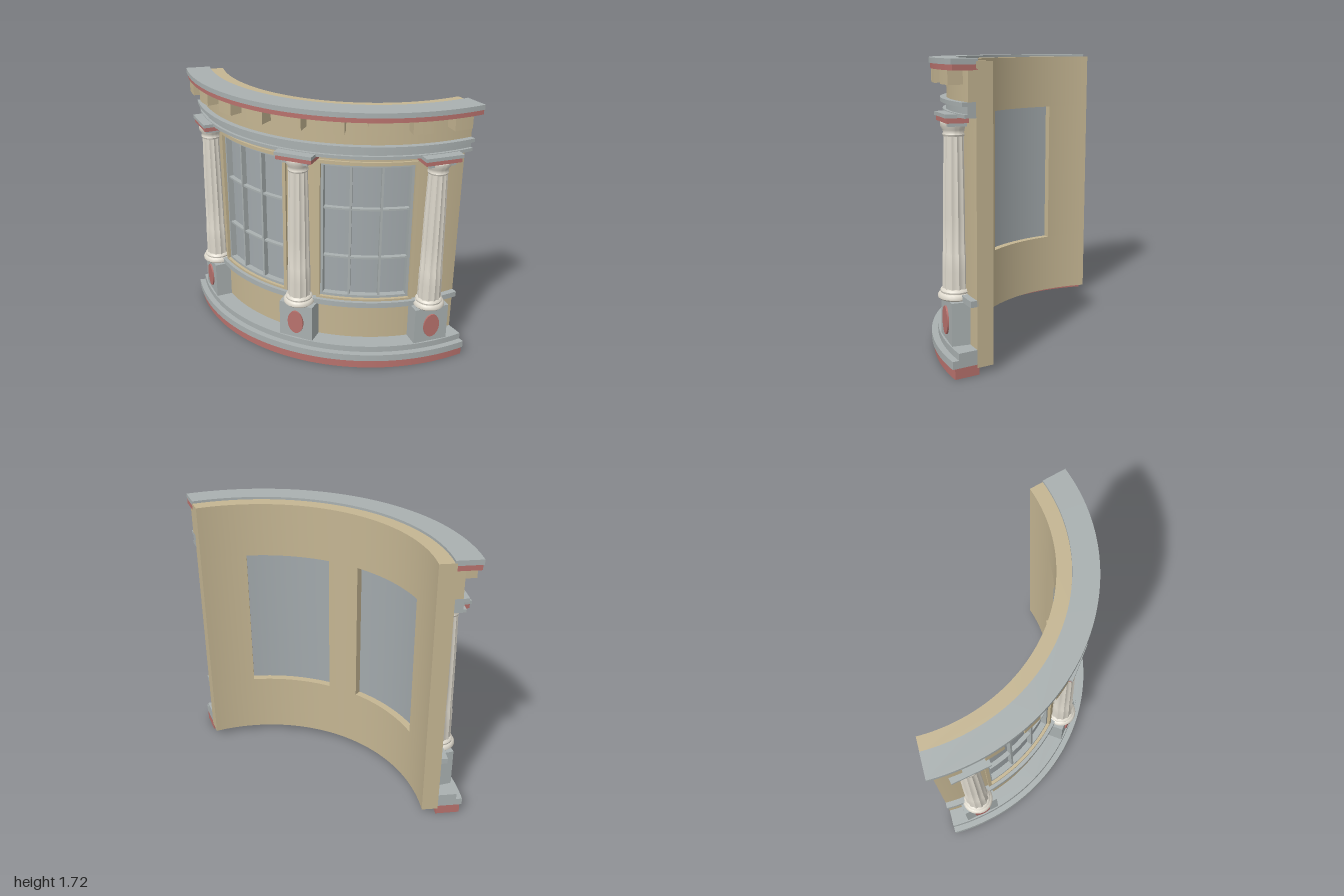
import * as THREE from 'three';
import { toCreasedNormals } from 'three/addons/utils/BufferGeometryUtils.js';

const mat = (name, color) => {
  const m = new THREE.MeshStandardMaterial({ color });
  m.name = name;
  return m;
};
const D = Math.PI / 180;
const CZ = -0.93;          // centre of the curve on z
const END = 53.13;         // half angle of the facade, degrees

export function createModel() {
  const stone = mat('sandstone', 0xc4b592);
  const grey = mat('grey trim', 0xa9b0b0);
  const red = mat('red trim', 0xb8726d);
  const cream = mat('cream column', 0xdcd7cb);
  const glass = mat('window glass', 0xa2a9ac);

  const model = new THREE.Group();
  model.name = 'curvedFacade';
  const curve = new THREE.Group();
  curve.name = 'curvedParts';
  curve.position.z = CZ;
  model.add(curve);

  const add = (parent, name, geometry, material) => {
    const m = new THREE.Mesh(geometry, material);
    m.name = name;
    parent.add(m);
    return m;
  };

  // Curved block between two radii, two heights and two angles
  const arc = (name, material, r0, r1, y0, y1, a0 = -END, a1 = END, parent = curve) => {
    const s = new THREE.Shape();
    const b = (a0 - 90) * D, e = (a1 - 90) * D;
    s.absarc(0, 0, r1, b, e, false);
    s.absarc(0, 0, r0, e, b, true);
    s.closePath();
    const g = new THREE.ExtrudeGeometry(s, {
      depth: y1 - y0, bevelEnabled: false,
      curveSegments: Math.max(1, Math.ceil((a1 - a0) / 2)),
    });
    g.rotateX(-Math.PI / 2).translate(0, y0, 0);
    return add(parent, name, toCreasedNormals(g, 0.3), material);
  };

  // Wall with two window openings
  const W0 = 5.9, W1 = 36.6, WY0 = 0.43, WY1 = 1.36;
  arc('wallLower', stone, 1.0, 1.1, 0.04, WY0);
  arc('wallUpper', stone, 1.0, 1.1, WY1, 1.7);
  arc('wallPierCentre', stone, 1.0, 1.1, WY0, WY1, -W0, W0);
  arc('wallPierRight', stone, 1.0, 1.1, WY0, WY1, -END, -W1);
  arc('wallPierLeft', stone, 1.0, 1.1, WY0, WY1, W1, END);

  // Stepped base, sill band, entablature and cornice: [name, material, outer radius, y0, y1]
  [
    ['basePlinth', red, 1.236, 0, 0.06],
    ['baseStepLower', grey, 1.25, 0.06, 0.105],
    ['baseStepUpper', grey, 1.212, 0.105, 0.145],
    ['sillBand', grey, 1.138, 0.39, 0.426],
    ['architraveLower', grey, 1.168, 1.41, 1.43],
    ['architraveMiddle', grey, 1.15, 1.43, 1.47],
    ['architraveUpper', grey, 1.182, 1.47, 1.493],
    ['frieze', stone, 1.146, 1.493, 1.655],
    ['corniceLower', red, 1.235, 1.655, 1.685],
    ['corniceTop', grey, 1.243, 1.685, 1.715],
  ].forEach(([name, m, r, y0, y1]) => arc(name, m, 1.088, r, y0, y1));

  // Dentil blocks under the cornice
  for (let i = -4; i <= 4; i++) {
    const a = i * END * 2 / 9;
    arc('dentil', stone, 1.14, 1.232, 1.58, 1.655, a - 2.75, a + 2.75);
  }

  // Windows: glass, stone surround, grey frame and glazing bars
  for (const side of [-1, 1]) {
    const w = new THREE.Group();
    w.name = side > 0 ? 'windowLeft' : 'windowRight';
    curve.add(w);
    const part = (name, m, r0, r1, y0, y1, a0, a1) =>
      arc(name, m, r0, r1, y0, y1, side > 0 ? a0 : -a1, side > 0 ? a1 : -a0, w);
    part('glass', glass, 1.045, 1.055, WY0, WY1, W0, W1);
    const ring = (name, m, r0, r1, y0, y1, a0, a1, t) => {
      const ta = t / 1.1 / D;
      part(name + 'Bottom', m, r0, r1, y0, y0 + t, a0, a1);
      part(name + 'Top', m, r0, r1, y1 - t, y1, a0, a1);
      part(name + 'Inner', m, r0, r1, y0 + t, y1 - t, a0, a0 + ta);
      part(name + 'Outer', m, r0, r1, y0 + t, y1 - t, a1 - ta, a1);
    };
    ring('surround', stone, 1.05, 1.115, WY0 - 0.012, WY1 + 0.012, W0 - 0.6, W1 + 0.6, 0.022);
    ring('frame', grey, 1.05, 1.095, WY0 + 0.01, WY1 - 0.01, W0 + 0.5, W1 - 0.5, 0.017);
    for (const a of [16.1, 26.1]) part('verticalBar', grey, 1.05, 1.09, WY0 + 0.02, WY1 - 0.02, a - 0.38, a + 0.38);
    for (const y of [0.72, 1.052]) part('horizontalBar', grey, 1.05, 1.085, y - 0.006, y + 0.006, W0 + 1, W1 - 1);
  }

  // Column geometry shared by the three bays
  const lathe = (pts) => new THREE.LatheGeometry(pts.map(([x, y]) => new THREE.Vector2(x, y)), 48);
  const baseGeo = toCreasedNormals(lathe([
    [0, 0.39], [0.09, 0.39], [0.1, 0.4], [0.1, 0.412], [0.092, 0.424],
    [0.084, 0.428], [0.086, 0.438], [0.08, 0.448], [0.07, 0.452], [0, 0.452],
  ]), 0.7);
  const capGeo = toCreasedNormals(lathe([
    [0, 1.3], [0.06, 1.3], [0.064, 1.31], [0.06, 1.32], [0.062, 1.335],
    [0.076, 1.355], [0.076, 1.375], [0, 1.375],
  ]), 0.7);
  const shaftGeo = lathe([
    [0.075, 0.445], [0.074, 0.55], [0.073, 0.645], [0.07, 0.66],
    [0.068, 0.85], [0.065, 1.05], [0.061, 1.2], [0.058, 1.32],
  ]);
  // Press twelve flutes into the shaft
  const p = shaftGeo.attributes.position;
  for (let i = 0; i < p.count; i++) {
    const x = p.getX(i), z = p.getZ(i);
    const depth = p.getY(i) < 0.65 ? 0.08 : 0.11;
    const k = 1 - depth * Math.abs(Math.sin(6 * Math.atan2(x, z)));
    p.setXYZ(i, x * k, p.getY(i), z * k);
  }
  shaftGeo.computeVertexNormals();
  const shaftSharp = toCreasedNormals(shaftGeo, 0.5);

  // Bays: pedestal, medallion, column and abacus
  for (const [name, a] of [['bayRight', -42.5], ['bayCentre', 0], ['bayLeft', 42.5]]) {
    const bay = new THREE.Group();
    bay.name = name;
    bay.rotation.y = a * D;
    curve.add(bay);
    const box = (n, m, w, y0, y1, z0, z1) =>
      add(bay, n, new THREE.BoxGeometry(w, y1 - y0, z1 - z0).translate(0, (y0 + y1) / 2, (z0 + z1) / 2), m);
    box('pedestal', grey, 0.23, 0.145, 0.392, 1.08, 1.2);
    const medallion = add(bay, 'medallion', new THREE.CylinderGeometry(1, 1, 0.012, 32).rotateX(Math.PI / 2), red);
    medallion.scale.set(0.054, 0.082, 1);
    medallion.position.set(0, 0.263, 1.204);
    for (const [n, g] of [['columnBase', baseGeo], ['columnShaft', shaftSharp], ['columnCapital', capGeo]])
      add(bay, n, g, cream).position.z = 1.145;
    box('abacusNeck', grey, 0.17, 1.357, 1.377, 1.08, 1.2);
    box('abacusLower', red, 0.23, 1.377, 1.405, 1.08, 1.216);
    box('abacusTop', grey, 0.242, 1.405, 1.426, 1.08, 1.225);
  }
  return model;
}
